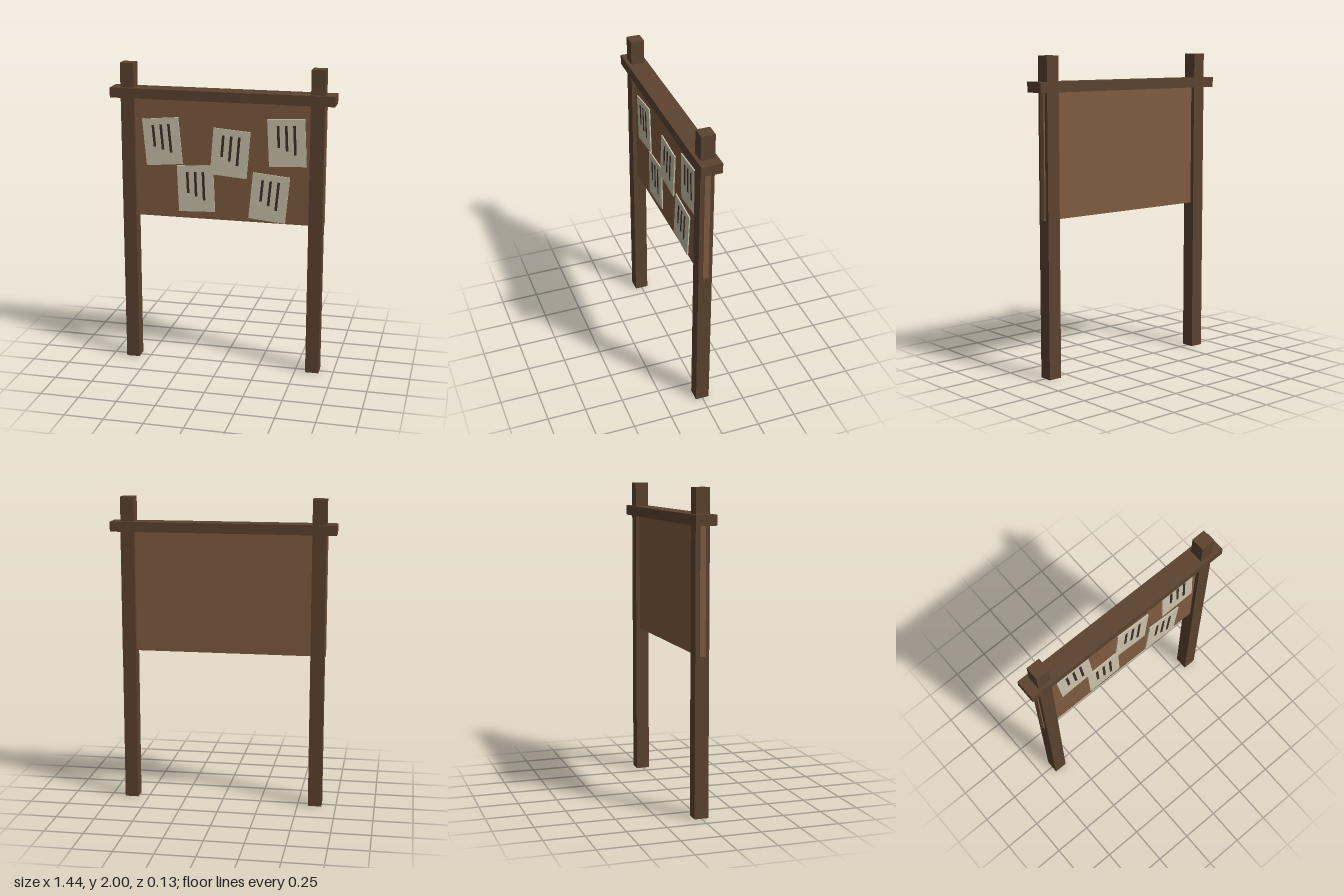
import * as THREE from 'three';

const material = (color) => new THREE.MeshStandardMaterial({ color });

export function createModel() {
  const model = new THREE.Group();
  model.name = 'noticeBoard';

  const darkWood = material(0x5c4330);
  const boardWood = material(0x805c40);
  const paper = material(0xcdc4ad);
  const ink = material(0x3a3029);

  const box = (parent, name, mat, size, position) => {
    const mesh = new THREE.Mesh(new THREE.BoxGeometry(...size), mat);
    mesh.name = name;
    mesh.position.set(...position);
    parent.add(mesh);
    return mesh;
  };

  // Two square posts, running up through the beam
  for (const [name, side] of [['leftPost', 1], ['rightPost', -1]]) {
    box(model, name, darkWood, [0.088, 2, 0.088], [side * 0.613, 1, 0]);
  }

  // Cross beam and the panel hanging below it
  box(model, 'topBeam', darkWood, [1.444, 0.064, 0.133], [0, 1.811, 0]);
  box(model, 'boardPanel', boardWood, [1.33, 0.8, 0.036], [0, 1.4, 0]);

  // Pinned notices: x, y, tilt
  const notices = [
    [-0.39, 1.5, 0.09],
    [-0.17, 1.2, 0.04],
    [0.055, 1.445, -0.08],
    [0.42, 1.53, 0.05],
    [0.31, 1.167, -0.095],
  ];
  for (const [x, y, tilt] of notices) {
    const notice = new THREE.Group();
    notice.name = 'notice';
    notice.position.set(x, y, 0.018);
    notice.rotation.z = tilt;
    model.add(notice);
    box(notice, 'sheet', paper, [0.24, 0.305, 0.008], [0, 0, 0.004]);

    // Three ink strokes, each longer than the last
    [0.14, 0.163, 0.186].forEach((length, i) => {
      box(notice, 'inkStroke', ink, [0.016, length, 0.004], [(i - 1) * 0.052, 0.111 - length / 2, 0.009]);
    });
  }

  return model;
}
